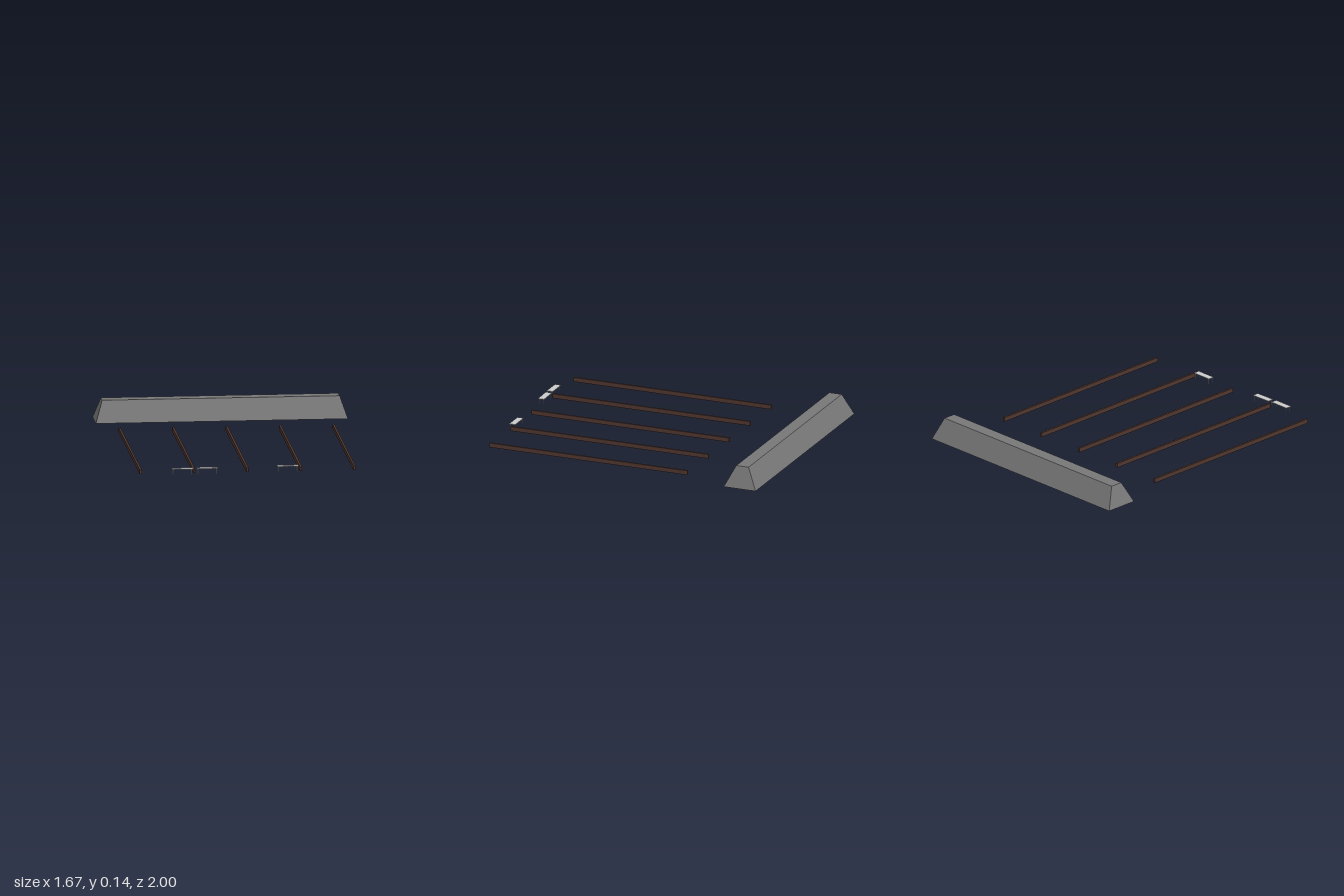
import * as THREE from 'three';

const paint = (color) => new THREE.MeshStandardMaterial({ color, flatShading: true });

export function createModel() {
  const model = new THREE.Group();
  model.name = 'firingRange';
  const earth = paint(0x777777), wood = paint(0x4f362f), grey = paint(0xcccccc);

  const box = (parent, name, material, size, position) => {
    const mesh = new THREE.Mesh(new THREE.BoxGeometry(...size), material);
    mesh.name = name;
    mesh.position.set(...position);
    parent.add(mesh);
    return mesh;
  };

  // Backstop berm: a box drawn in towards its flat top
  const berm = box(model, 'backstopBerm', earth, [1.666, 0.142, 0.228], [0, 0.071, -0.886]);
  const p = berm.geometry.attributes.position;
  for (let i = 0; i < p.count; i++) {
    if (p.getY(i) > 0) {
      p.setX(i, Math.sign(p.getX(i)) * 0.785);
      p.setZ(i, Math.sign(p.getZ(i)) * 0.044);
    }
  }
  berm.geometry.computeVertexNormals();

  // Five lane divider beams
  for (let i = -2; i <= 2; i++) {
    box(model, 'laneDivider', wood, [0.0145, 0.029, 1.412], [i * 0.353, 0.0145, 0.244]);
  }

  // Benches at the firing line: x, z, turn
  const benches = [[-0.433, 0.977, 0], [-0.268, 0.971, 0.025], [0.266, 0.949, 0]];
  for (const [x, z, turn] of benches) {
    const bench = new THREE.Group();
    bench.name = 'bench';
    bench.position.set(x, 0, z);
    bench.rotation.y = turn;
    box(bench, 'benchTop', grey, [0.14, 0.004, 0.043], [0, 0.037, 0]);
    for (const sx of [-1, 1]) {
      for (const sz of [-1, 1]) {
        box(bench, 'benchLeg', grey, [0.003, 0.035, 0.003], [sx * 0.061, 0.0175, sz * 0.017]);
      }
    }
    model.add(bench);
  }
  return model;
}
